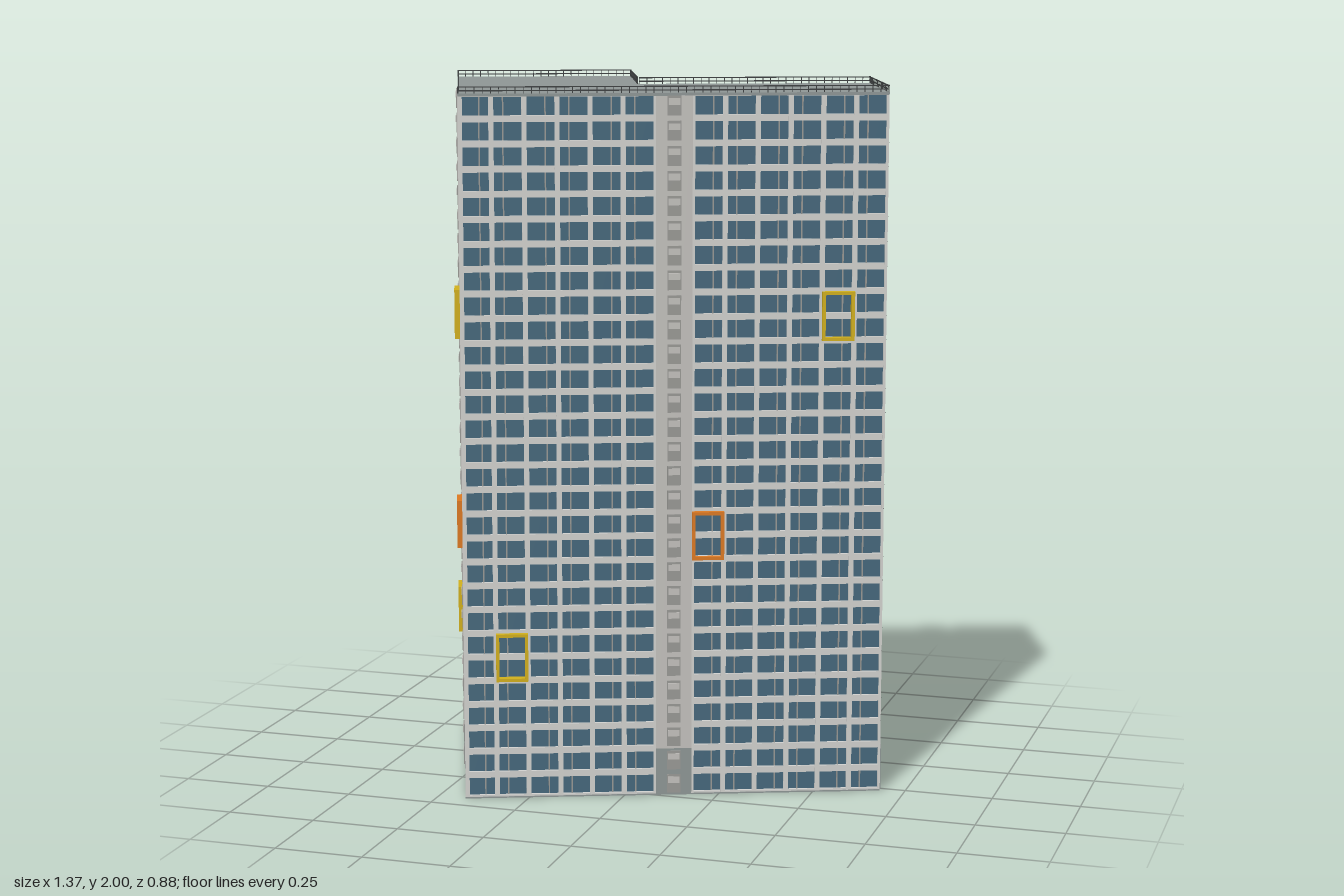
import * as THREE from 'three';
import { mergeGeometries } from 'three/addons/utils/BufferGeometryUtils.js';

const mat = (name, hex) => {
  const m = new THREE.MeshStandardMaterial({ color: hex });
  m.name = name;
  return m;
};

export function createModel() {
  const M = {
    concrete: mat('pale concrete', 0xd2d2cf),
    strip: mat('stair concrete', 0xc4c2be),
    gray: mat('slate gray', 0x8f9796),
    vent: mat('vent gray', 0x9a9a96),
    glass: mat('blue glass', 0x46687c),
    dark: mat('dark metal', 0x3c3f40),
    yellow: mat('yellow paint', 0xd2b01c),
    orange: mat('orange paint', 0xdd7a22),
  };
  const FLOORS = 29, H = 1.98, FH = H / FLOORS, INSET = 0.012;
  const X0 = -0.548, X1 = -0.034, X2 = 0.628, Z0 = -0.486, Z1 = -0.119, Z2 = 0.262;
  const model = new THREE.Group();
  model.name = 'apartmentTower';
  model.rotation.y = 0.365;

  // Box from min/max extents
  const box = (x0, x1, y0, y1, z0, z1) =>
    new THREE.BoxGeometry(x1 - x0, y1 - y0, z1 - z0).translate((x0 + x1) / 2, (y0 + y1) / 2, (z0 + z1) / 2);
  const add = (parent, name, geos, material) => {
    const mesh = new THREE.Mesh(mergeGeometries(geos), material);
    mesh.name = name;
    parent.add(mesh);
  };

  // L-shaped prism, with windowed sides drawn in by d
  const prism = (d, y0, y1) => {
    const pts = [[X0 + d, Z2 - d], [X2, Z2 - d], [X2, Z1 + d], [X1, Z1 + d], [X1, Z0 + d], [X0 + d, Z0 + d]];
    const shape = new THREE.Shape(pts.map(([x, z]) => new THREE.Vector2(x, -z)));
    return new THREE.ExtrudeGeometry(shape, { depth: y1 - y0, bevelEnabled: false })
      .rotateX(-Math.PI / 2).translate(0, y0, 0);
  };
  add(model, 'core', [prism(INSET, 0.004, H - 0.008)], M.concrete);
  add(model, 'roofSlab', [prism(0, H - 0.008, H)], M.gray);
  add(model, 'groundSlab', [prism(0, 0, 0.004)], M.gray);

  // Each side is a group: x runs along the wall, z points outward
  const side = (name, x, z, turn) => {
    const g = new THREE.Group();
    g.name = name;
    g.position.set(x, 0, z);
    g.rotation.y = turn;
    model.add(g);
    return g;
  };

  // Rooftop railing along a wall
  const railing = (g, L) => {
    const geos = [1.988, 1.998].map(y => box(0, L, y - 0.002, y + 0.001, -0.005, -0.002));
    const n = Math.round(L / 0.022);
    for (let i = 0; i <= n; i++) {
      const s = 0.001 + (L - 0.002) * i / n;
      geos.push(box(s - 0.001, s + 0.001, H, 1.999, -0.005, -0.003));
    }
    add(g, 'railing', geos, M.dark);
  };

  // Coloured surround two storeys tall
  const surround = (g, s, w, floor, material) => {
    const y = floor * FH, h = 2 * FH, t = 0.009, d = 0.015;
    add(g, 'balconySurround', [
      box(s, s + t, y, y + h, -INSET, d), box(s + w - t, s + w, y, y + h, -INSET, d),
      box(s + t, s + w - t, y, y + t, -INSET, d), box(s + t, s + w - t, y + h - t, y + h, -INSET, d),
    ], material);
  };

  // Windowed facade: cells, stair strip, cells
  const facade = (name, x, z, turn, L, nA, nB, frames) => {
    const g = side(name, x, z, turn), SW = 0.1, w = (L - SW) / (nA + nB);
    const a = nA * w, b = a + SW, top = H - 0.008;
    const start = i => i * w + (i >= nA ? SW : 0);
    const glass = [], pillars = [], bars = [], bands = [];
    for (const [s0, s1] of [[0, a], [b, L]]) {
      glass.push(box(s0 + 0.006, s1 - 0.006, 0.004, top, -INSET, -0.009));
      for (let f = 0; f <= FLOORS; f++) {
        const y = f * FH;
        bands.push(box(s0, s1, Math.max(0.004, y - 0.009), Math.min(top, y + 0.009), -INSET, -0.001));
      }
    }
    for (let i = 0; i < nA + nB; i++) {
      const s = start(i);
      pillars.push(box(s, s + 0.007, 0.004, top, -INSET, 0), box(s + w - 0.007, s + w, 0.004, top, -INSET, 0));
      const m = s + w * (i % 2 ? 0.36 : 0.64);
      bars.push(box(m - 0.002, m + 0.002, 0.004, top, -0.01, -0.006));
    }
    add(g, 'windows', glass, M.glass);
    add(g, 'floorBands', bands, M.concrete);
    add(g, 'pilasters', pillars, M.concrete);
    add(g, 'windowBars', bars, M.vent);

    // Stair strip with a vent beside every landing
    const c = (a + b) / 2, vents = [], panels = [];
    for (let f = 0; f < FLOORS; f++) {
      const y = (f + 0.5) * FH;
      vents.push(box(c - 0.019, c + 0.019, y - 0.027, y + 0.027, 0, 0.004));
      panels.push(box(c - 0.016, c + 0.016, y + 0.002, y + 0.02, 0.003, 0.006));
    }
    add(g, 'stairStrip', [box(a, b, 2 * FH, top, -INSET, 0.002)], M.strip);
    add(g, 'stairStripBase', [box(a, b, 0.004, 2 * FH, -INSET, 0.002)], M.gray);
    add(g, 'stairVents', vents, M.vent);
    add(g, 'stairPanels', panels, M.strip);

    frames.forEach(([i, floor, m]) => surround(g, start(i), w, floor, m));
    railing(g, L);
  };
  const { yellow: Y, orange: O } = M;
  facade('frontFacade', X0, Z2, 0, X2 - X0, 6, 6, [[1, 5, Y], [6, 10, O], [10, 19, Y]]);
  facade('rightFacade', X0, Z0, -Math.PI / 2, Z2 - Z0, 4, 3, [[1, 5, Y], [4, 10, O], [5, 19, Y]]);
  facade('backWingFacade', X1, Z0, Math.PI, X1 - X0, 3, 2, [[1, 5, Y], [3, 10, O], [3, 19, Y]]);
  facade('backFacade', X2, Z1, Math.PI, X2 - X1, 3, 3, [[1, 5, Y], [3, 10, O], [4, 19, Y]]);

  // Blank end walls with panel joints and slim orange marks
  const endWall = (name, x, z, L) => {
    const g = side(name, x, z, Math.PI / 2), joints = [];
    for (let f = 3; f < FLOORS; f++) joints.push(box(0, L, f * FH - 0.0006, f * FH + 0.0006, 0, 0.0008));
    add(g, 'panelJoints', joints, M.dark);
    add(g, 'wallBase', [box(0, L, 0.004, 2 * FH, 0, 0.002)], M.gray);
    const marks = [[0.29, 1.33], [0.29, 0.51], [0.64, 1.53], [0.64, 0.71], [0.45, 0.985]];
    add(g, 'wallMarks', marks.map(([t, y]) =>
      box(t * L - 0.004, t * L + 0.004, y - 0.025, y + 0.025, 0, 0.004)), M.orange);
    railing(g, L);
    return g;
  };
  endWall('innerEndWall', X1, Z1, Z1 - Z0);
  const entry = endWall('leftEndWall', X2, Z2, Z2 - Z1);

  // Glazed entrance
  add(entry, 'entranceFrame', [box(0.08, 0.295, 0.004, 0.112, 0.002, 0.005)], M.dark);
  add(entry, 'entranceGlass', [
    box(0.085, 0.121, 0.008, 0.107, 0.005, 0.007),
    box(0.123, 0.187, 0.008, 0.107, 0.005, 0.007),
    box(0.189, 0.29, 0.008, 0.107, 0.005, 0.007),
  ], M.glass);

  const root = new THREE.Group();
  root.name = 'building';
  root.add(model);
  return root;
}
